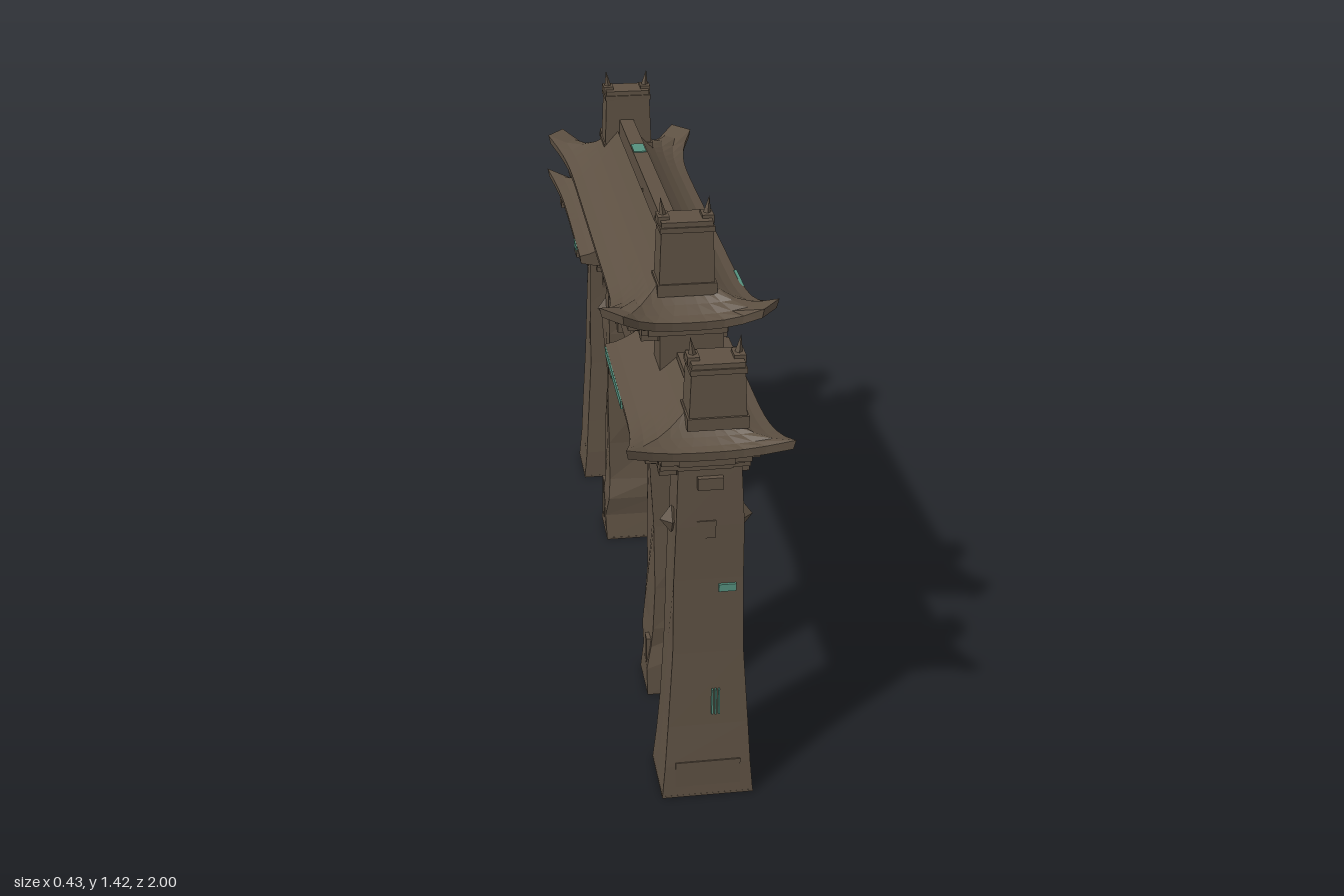
import * as THREE from 'three';

const stone = new THREE.MeshStandardMaterial({ color: 0x5e5143, flatShading: true, side: THREE.DoubleSide });
stone.name = 'weatheredStone';
const verdigris = new THREE.MeshStandardMaterial({ color: 0x55907e });
verdigris.name = 'verdigris';

// Small seeded generator for the chipped stone
let seed = 7;
const rnd = () => ((seed = (seed * 16807) % 2147483647) / 2147483647) * 2 - 1;

function add(parent, name, geo, x = 0, y = 0, z = 0, mat = stone) {
  const m = new THREE.Mesh(geo, mat);
  m.name = name;
  m.position.set(x, y, z);
  parent.add(m);
  return m;
}

// Box given by its limits on every axis
function block(parent, name, x0, x1, y0, y1, z0, z1, mat) {
  return add(parent, name, new THREE.BoxGeometry(x1 - x0, y1 - y0, z1 - z0),
    (x0 + x1) / 2, (y0 + y1) / 2, (z0 + z1) / 2, mat);
}

// Closed loop of point columns joined into faces; points[i][j] = [x, y, z]
function skin(points) {
  const rows = [...points, points[0]];
  const n = rows[0].length, idx = [];
  for (let i = 0; i < rows.length - 1; i++)
    for (let j = 0; j < n - 1; j++) {
      const a = i * n + j, b = a + n;
      idx.push(a, a + 1, b, b, a + 1, b + 1);
    }
  const g = new THREE.BufferGeometry();
  g.setAttribute('position', new THREE.Float32BufferAttribute(rows.flat(2), 3));
  g.setIndex(idx);
  const flat = g.toNonIndexed();
  flat.computeVertexNormals();
  return flat;
}

// Flared pillar: rows are [y, half x, half z], sides slightly chipped
function pillar(parent, name, cx, z, rows, chip) {
  const cols = [[1, -1], [1, 0], [1, 1], [-1, 1], [-1, 0], [-1, -1]];
  const pts = cols.map(([sx, sz]) => rows.map(([y, hx, hz], k) => {
    const c = k > 0 && k < rows.length - 1 ? chip : 0;
    return [cx + sx * hx + rnd() * c, y, z + sz * hz + rnd() * c];
  }));
  add(parent, name, skin(pts));
  const [, bx, bz] = rows[0];
  block(parent, name + 'Foot', cx - bx, cx + bx, 0, 0.006, z - bz, z + bz);
}

// Half of a hipped roof with upswept corners, running from zIn to its hip.
// With split, side and end eaves finish in separate horns.
function roof(parent, name, o) {
  // Rim points: [across, along, on the end eave]
  const rim = [];
  const N = 10, M = 8;
  for (let i = 0; i <= N; i++) rim.push([1, Math.pow(i / N, 0.6), false]);
  for (let i = o.split ? 0 : 1; i <= (o.split ? M : M - 1); i++) rim.push([1 - 2 * i / M, 1, true]);
  for (let i = N; i >= 0; i--) rim.push([-1, Math.pow(i / N, 0.6), false]);
  // Rings: slope, lip, soffit
  const rings = [[0, 0], [0.2, 0], [0.4, 0], [0.6, 0], [0.8, 0], [1, 0], [0.98, -0.022], [0.7, -0.03], [0, -0.03]];
  const pts = rim.map(([u, v, end]) => rings.map(([t, d]) => {
    const c = end ? Math.pow(Math.abs(u), 3) : Math.pow(v, 9);
    const e = c * t * t * t;
    const flareX = o.split && end ? 0 : o.flareX, flareZ = o.split && !end ? 0 : o.flareZ;
    const x = u * (o.ridgeX + (o.eaveX - o.ridgeX) * t + flareX * e);
    const z = o.zIn + (o.ridgeZ + (o.eaveZ - o.ridgeZ) * t - o.zIn) * v + flareZ * e;
    const slope = d < 0 && t < 0.9 ? o.eaveY : o.ridgeY - (o.ridgeY - o.eaveY) * (1 - Math.pow(1 - t, 1.6));
    return [x, slope + d + o.lift * e, z];
  }));
  add(parent, name, skin(pts));
}

// Ridge tower with cap and two horns
function tower(parent, x, z, y0, y1, hx, hz) {
  const g = new THREE.CylinderGeometry(Math.SQRT1_2 * 1.8, Math.SQRT2, 1, 4).rotateY(Math.PI / 4);
  const body = add(parent, 'ridgeTower', g, x, (y0 + y1) / 2, z);
  body.scale.set(hx, y1 - y0, hz);
  block(parent, 'towerPlinth', x - hx * 1.05, x + hx * 1.05, y0, y0 + 0.03, z - hz * 1.1, z + hz * 1.1);
  block(parent, 'towerCap', x - hx * 0.96, x + hx * 0.96, y1 - 0.025, y1 - 0.012, z - hz, z + hz);
  for (const s of [-1, 1]) {
    const horn = add(parent, 'towerHorn', new THREE.ConeGeometry(0.014, 0.065, 4), x + s * hx * 0.8, y1 + 0.018, z);
    horn.rotation.z = -s * 0.12;
    block(parent, 'hornBase', x + s * hx * 0.78 - 0.014, x + s * hx * 0.78 + 0.014, y1 - 0.012, y1 + 0.008, z - 0.022, z + 0.022);
  }
}

// Stepped bracket cluster under an eave
function brackets(parent, z, y, reach, spread) {
  for (let k = 0; k < 3; k++) {
    const r = reach * (0.6 + 0.2 * k), w = spread * (0.5 + 0.25 * k), y0 = y + k * 0.02;
    block(parent, 'bracketArm', -r, r, y0, y0 + 0.018, z - 0.018, z + 0.018);
    block(parent, 'bracketCross', -0.065, 0.065, y0, y0 + 0.022, z - w, z + w);
    for (const sx of [-1, 1]) {
      block(parent, 'bracketCap', sx * r - 0.014, sx * r + 0.014, y0 + 0.005, y0 + 0.028, z - 0.026, z + 0.026);
      for (const sz of [-1, 1])
        block(parent, 'bracketBlock', sx * 0.085 - 0.02, sx * 0.085 + 0.02, y0 + 0.004, y0 + 0.024,
          z + sz * w * 0.8 - 0.014, z + sz * w * 0.8 + 0.014);
    }
  }
}

// Half of the gate along +z; s = -1 turns it round to the back
function half(s) {
  const g = new THREE.Group();
  g.name = s > 0 ? 'frontHalf' : 'backHalf';
  const cx = s > 0 ? 0.012 : -0.002;

  pillar(g, 'outerPillar', cx, 0.86, [[0, 0.113, 0.088], [0.09, 0.106, 0.085], [0.2, 0.097, 0.076], [0.4, 0.088, 0.066],
    [0.6, 0.083, 0.061], [0.74, 0.08, 0.058], [0.9, 0.074, 0.055]], 0.003);
  pillar(g, 'innerPillar', cx, 0.425, [[0, 0.088, 0.073], [0.08, 0.085, 0.069], [0.14, 0.083, 0.066], [0.2, 0.078, 0.06],
    [0.32, 0.074, 0.055], [0.5, 0.073, 0.053], [0.68, 0.077, 0.052], [0.78, 0.071, 0.05], [0.92, 0.069, 0.046]], 0.007);

  // Knobs and worn blocks on the pillars
  for (const sx of [-1, 1]) {
    for (const [z, x] of [[0.87, 0.083], [0.43, 0.074]]) {
      const knob = add(g, 'pillarKnob', new THREE.OctahedronGeometry(0.034), cx + sx * x, 0.74, z);
      knob.scale.set(0.8, 1.1, 0.7);
    }
    const ox = cx + sx * 0.09, ix = cx + sx * 0.076;
    block(g, 'baseChip', ox - 0.012, ox + 0.016, 0.02, 0.1, 0.8, 0.83);
    block(g, 'baseChip', ix - 0.012, ix + 0.012, 0.03, 0.16, 0.44, 0.475);
  }
  block(g, 'endBoss', cx - 0.03, cx + 0.015, 0.71, 0.755, 0.9, 0.922);
  block(g, 'endBoss', cx - 0.03, cx + 0.03, 0.84, 0.87, 0.9, 0.93);
  block(g, 'basePanel', cx - 0.08, cx + 0.08, 0.03, 0.1, 0.93, 0.947);

  // Arched side beam between the pillars
  const arch = new THREE.Shape();
  arch.moveTo(0.46, 0.885);
  arch.lineTo(0.46, 0.655);
  arch.lineTo(0.485, 0.655);
  arch.quadraticCurveTo(0.495, 0.705, 0.54, 0.708);
  arch.lineTo(0.75, 0.708);
  arch.quadraticCurveTo(0.79, 0.705, 0.8, 0.655);
  arch.lineTo(0.82, 0.655);
  arch.lineTo(0.82, 0.885);
  const beam = new THREE.ExtrudeGeometry(arch, { depth: 0.09, bevelEnabled: false, curveSegments: 5 });
  add(g, 'sideBeam', beam.translate(0, 0, -0.045).rotateY(-Math.PI / 2), cx);
  block(g, 'sideBeamRail', cx - 0.058, cx + 0.058, 0.86, 0.885, 0.46, 0.82);

  // Corner pieces beneath the main beam
  block(g, 'beamCorner', cx - 0.05, cx + 0.05, 0.735, 0.79, 0.335, 0.39);
  block(g, 'beamCorner', cx - 0.05, cx + 0.05, 0.69, 0.74, 0.355, 0.39);

  // Lower roof, its lintel and brackets
  roof(g, 'lowerRoof', { zIn: 0.315, ridgeX: 0.02, ridgeZ: 0.85, ridgeY: 1.03, eaveX: 0.16, eaveZ: 0.955,
    eaveY: 0.95, flareX: 0.032, flareZ: 0.045, lift: 0.04, split: false });
  block(g, 'lowerRidge', -0.018, 0.018, 1.015, 1.042, 0.315, 0.84);
  block(g, 'lowerLintel', cx - 0.078, cx + 0.078, 0.905, 0.93, 0.33, 0.93);
  brackets(g, 0.86, 0.87, 0.15, 0.085);
  brackets(g, 0.425, 0.87, 0.148, 0.08);
  tower(g, s * 0.03, 0.86, 0.985, 1.145, 0.068, 0.05);

  // Post and brackets carrying the upper roof
  block(g, 'upperPost', s * 0.018 - 0.078, s * 0.018 + 0.078, 0.95, 1.1, 0.5, 0.6);
  brackets(g, 0.55, 1.07, 0.15, 0.075);
  roof(g, 'upperRoof', { zIn: 0, ridgeX: 0.025, ridgeZ: 0.54, ridgeY: 1.255, eaveX: 0.165, eaveZ: 0.675,
    eaveY: 1.15, flareX: 0.048, flareZ: 0.06, lift: 0.05, split: true });
  tower(g, s * 0.005, 0.555, 1.19, 1.372, 0.068, 0.047);

  // Panel frame stile
  block(g, 'panelStile', cx - 0.053, cx + 0.053, 0.9, 1.1, 0.265, 0.285);
  if (s < 0) g.rotation.y = Math.PI;
  return g;
}

export function createModel() {
  const model = new THREE.Group();
  model.name = 'memorialGate';
  model.add(half(1), half(-1));

  // Central span
  block(model, 'mainBeam', -0.058, 0.073, 0.78, 0.88, -0.39, 0.39);
  block(model, 'mainBeamRail', -0.066, 0.081, 0.88, 0.905, -0.39, 0.39);
  block(model, 'centrePanel', -0.03, 0.045, 0.9, 1.1, -0.28, 0.28);
  block(model, 'panelRail', -0.045, 0.06, 1.075, 1.1, -0.285, 0.285);
  block(model, 'panelPeg', -0.05, 0.065, 0.9, 0.925, -0.02, 0.02);
  block(model, 'upperLintel', -0.09, 0.1, 1.095, 1.13, -0.62, 0.62);
  block(model, 'upperRidge', -0.02, 0.02, 1.24, 1.289, -0.525, 0.525);

  // Verdigris stains as thin plates: pillars, ridge, eaves, beams, soffits
  const stain = (...b) => block(model, 'verdigrisStain', ...b, verdigris);
  stain(0.035, 0.077, 0.566, 0.585, 0.919, 0.927);
  for (const x of [0.022, 0.03, 0.038]) stain(x - 0.002, x + 0.002, 0.23, 0.3, 0.931, 0.94);
  stain(-0.016, 0.016, 0.372, 0.425, -0.932, -0.923);
  stain(0.079, 0.088, 0.175, 0.19, -0.485, -0.45);
  stain(-0.018, 0.016, 1.285, 1.292, -0.27, -0.2);
  stain(0.16, 0.168, 1.13, 1.153, 0.36, 0.47);
  stain(0.068, 0.076, 0.833, 0.852, 0.33, 0.38);
  stain(-0.163, -0.155, 0.93, 0.949, 0.33, 0.66);
  stain(-0.163, -0.155, 0.93, 0.949, -0.46, -0.4);
  stain(-0.051, -0.045, 0.863, 0.882, 0.53, 0.68);
  stain(0.125, 0.145, 0.914, 0.922, 0.5, 0.75);
  stain(0.125, 0.145, 0.914, 0.922, -0.75, -0.47);
  return model;
}
